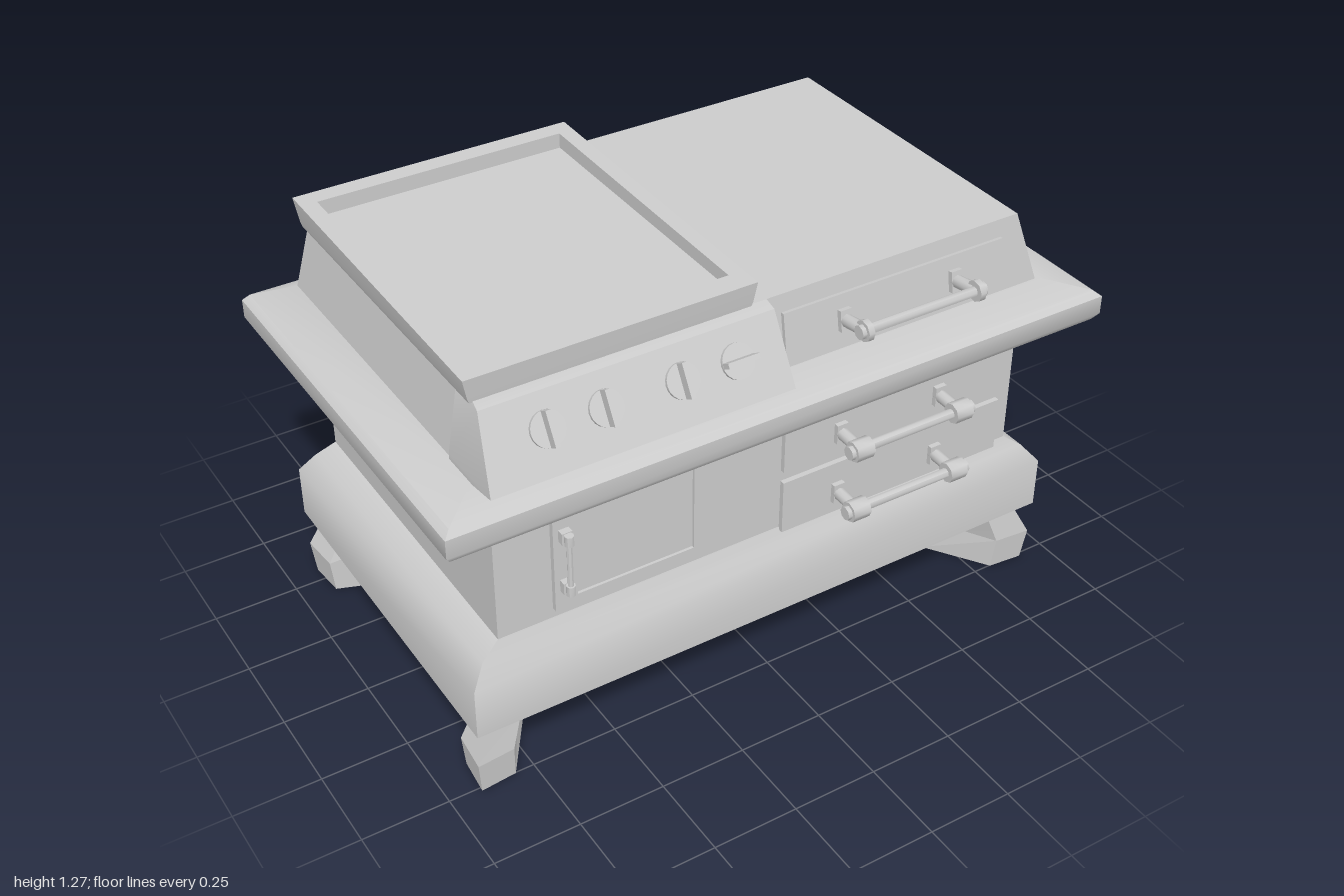
import * as THREE from 'three';
import { toCreasedNormals } from 'three/addons/utils/BufferGeometryUtils.js';

const mat = new THREE.MeshStandardMaterial({ color: 0xcccccc });

// Ring of four corners at height y (back edge may sit at another height)
const rect = (x0, x1, z0, z1, y, yBack = y) => [[x0, y, z1], [x1, y, z1], [x1, yBack, z0], [x0, yBack, z0]];

// Skin through equal rings, bottom to top, with both ends capped
function loft(rings, crease = 0.3) {
  const n = rings[0].length, idx = [];
  for (let r = 0; r < rings.length - 1; r++) {
    for (let i = 0; i < n; i++) {
      const a = r * n + i, b = r * n + (i + 1) % n;
      idx.push(a, b, b + n, a, b + n, a + n);
    }
  }
  const top = (rings.length - 1) * n;
  for (let i = 1; i < n - 1; i++) idx.push(0, i + 1, i, top, top + i, top + i + 1);
  const g = new THREE.BufferGeometry();
  g.setAttribute('position', new THREE.Float32BufferAttribute(rings.flat(2), 3));
  g.setIndex(idx);
  return toCreasedNormals(g, crease);
}

function add(parent, name, geometry, x = 0, y = 0, z = 0) {
  const m = new THREE.Mesh(geometry, mat);
  m.name = name;
  m.position.set(x, y, z);
  parent.add(m);
  return m;
}

const box = (w, h, d) => new THREE.BoxGeometry(w, h, d);
const rod = (r, len, axis, sides = 8) => {
  const g = new THREE.CylinderGeometry(r, r, len, sides);
  if (axis === 'x') g.rotateZ(Math.PI / 2);
  if (axis === 'z') g.rotateX(Math.PI / 2);
  return toCreasedNormals(g, 0.9);
};

// Bar handle on two posts, standing out along +z from its origin
function barHandle(name, half, collarLength) {
  const g = new THREE.Group();
  g.name = name;
  add(g, 'bar', rod(0.014, 2 * half, 'x'), 0, 0, 0.095);
  for (const s of [-1, 1]) {
    add(g, 'flange', box(0.035, 0.06, 0.015), s * half, 0, 0.007);
    add(g, 'post', rod(0.018, 0.085, 'z'), s * half, 0, 0.045);
    add(g, 'collar', rod(0.03, collarLength, 'x'), s * half, 0, 0.095);
    add(g, 'endCap', rod(0.02, 0.015, 'x'), s * (half + collarLength / 2 + 0.005), 0, 0.095);
  }
  return g;
}

export function createModel() {
  const model = new THREE.Group();
  model.name = 'stove';

  // Flared plinth
  add(model, 'plinth', loft([
    rect(-0.88, 0.88, -0.53, 0.49, 0.173),
    rect(-0.92, 0.92, -0.57, 0.53, 0.21),
    rect(-0.92, 0.92, -0.57, 0.53, 0.365),
    rect(-0.875, 0.875, -0.54, 0.495, 0.42),
    rect(-0.82, 0.82, -0.515, 0.478, 0.46),
  ], 0.75));

  // Cabinet body
  add(model, 'body', box(1.64, 0.4, 0.993), 0, 0.65, -0.0185);

  // Rounded-edge worktop
  add(model, 'worktop', loft([
    rect(-0.93, 0.93, -0.52, 0.53, 0.836),
    rect(-0.985, 0.985, -0.605, 0.595, 0.868),
    rect(-1, 1, -0.617, 0.61, 0.89),
    rect(-1, 1, -0.617, 0.61, 0.945),
    rect(-0.98, 0.98, -0.605, 0.592, 0.962),
    rect(-0.87, 0.87, -0.545, 0.49, 0.985),
  ], 0.6));

  // Raised hob housing and sloped control panel
  add(model, 'hobHousing', loft([
    rect(-0.865, 0.86, -0.545, 0.49, 0.98),
    rect(-0.82, 0.8, -0.515, 0.455, 1.19),
  ]));
  add(model, 'controlPanel', loft([
    rect(-0.87, -0.01, 0.38, 0.49, 0.983),
    rect(-0.87, -0.01, 0.38, 0.595, 1.0),
    rect(-0.84, -0.01, 0.38, 0.49, 1.18),
    rect(-0.835, -0.01, 0.38, 0.455, 1.19),
  ]));

  // Control knobs, the last one turned sideways
  [-0.685, -0.525, -0.31, -0.15].forEach((x, i) => {
    const knob = new THREE.Group();
    knob.name = 'knob';
    add(knob, 'dial', rod(0.047, 0.012, 'z', 20), 0, 0, 0.003);
    const grip = add(knob, 'grip', box(0.014, 0.092, 0.035), 0, 0, 0.02);
    if (i === 3) grip.rotation.z = Math.PI / 2;
    knob.position.set(x, 1.1, 0.537);
    knob.rotation.x = -0.53;
    model.add(knob);
  });

  // Griddle tray: outer wall, rim, then recessed floor
  add(model, 'griddle', loft([
    rect(-0.845, -0.06, -0.5, 0.46, 1.185, 1.185),
    rect(-0.85, -0.055, -0.5, 0.462, 1.2, 1.2),
    rect(-0.862, -0.045, -0.505, 0.467, 1.257, 1.275),
    rect(-0.815, -0.09, -0.452, 0.402, 1.258, 1.274),
    rect(-0.815, -0.09, -0.452, 0.402, 1.22, 1.23),
  ]));

  // Lower drawers with handles
  for (const [y0, y1] of [[0.45, 0.615], [0.65, 0.815]]) {
    const y = (y0 + y1) / 2;
    add(model, 'drawer', box(0.735, y1 - y0, 0.03), 0.405, y, 0.478);
    const h = barHandle('drawerHandle', 0.165, 0.055);
    h.position.set(0.38, y === 0.5325 ? 0.52 : 0.72, 0.493);
    model.add(h);
  }

  // Tilted top drawer
  add(model, 'topDrawer', box(0.71, 0.122, 0.03), 0.385, 1.08, 0.47).rotation.x = -0.165;
  const topHandle = barHandle('topDrawerHandle', 0.18, 0.018);
  topHandle.position.set(0.39, 1.075, 0.488);
  topHandle.rotation.x = -0.165;
  model.add(topHandle);

  // Oven door: frame with an inset panel
  const frame = new THREE.Shape([[-0.66, 0.49], [-0.17, 0.49], [-0.17, 0.815], [-0.66, 0.815]]
    .map(p => new THREE.Vector2(...p)));
  frame.holes.push(new THREE.Path([[-0.595, 0.52], [-0.595, 0.787], [-0.245, 0.787], [-0.245, 0.52]]
    .map(p => new THREE.Vector2(...p))));
  add(model, 'ovenDoorFrame', new THREE.ExtrudeGeometry(frame, { depth: 0.02, bevelEnabled: false }), 0, 0, 0.474);
  add(model, 'ovenDoorPanel', box(0.36, 0.275, 0.012), -0.42, 0.6535, 0.48);

  // Upright oven door handle
  add(model, 'ovenHandleRod', rod(0.008, 0.17, 'y'), -0.63, 0.65, 0.523);
  for (const y of [0.57, 0.73]) {
    add(model, 'ovenHandleMount', box(0.03, 0.035, 0.022), -0.63, y, 0.503);
    add(model, 'ovenHandleEnd', rod(0.013, 0.03, 'y'), -0.63, y, 0.523);
  }

  // Kite-shaped splayed feet; rows: height, inner, middle and outer x, then z
  const levels = [
    [0, 0.685, 0.805, 0.91, 0.34, 0.42, 0.53],
    [0.1, 0.7, 0.81, 0.92, 0.345, 0.42, 0.54],
    [0.185, 0.66, 0.78, 0.875, 0.33, 0.42, 0.525],
  ];
  for (const sx of [-1, 1]) {
    for (const sz of [-1, 1]) {
      const rings = levels.map(([y, xi, xm, xo, zi, zm, zo]) => {
        const ring = [[xi, zi], [xm, zo - 0.01], [xo, zo], [xo - 0.01, zm]]
          .map(([x, z]) => [sx * x, y, sz * z - 0.018]);
        return sx * sz < 0 ? ring.reverse() : ring;
      });
      add(model, sz > 0 ? 'frontLeg' : 'backLeg', loft(rings, 0.1));
    }
  }

  return model;
}
